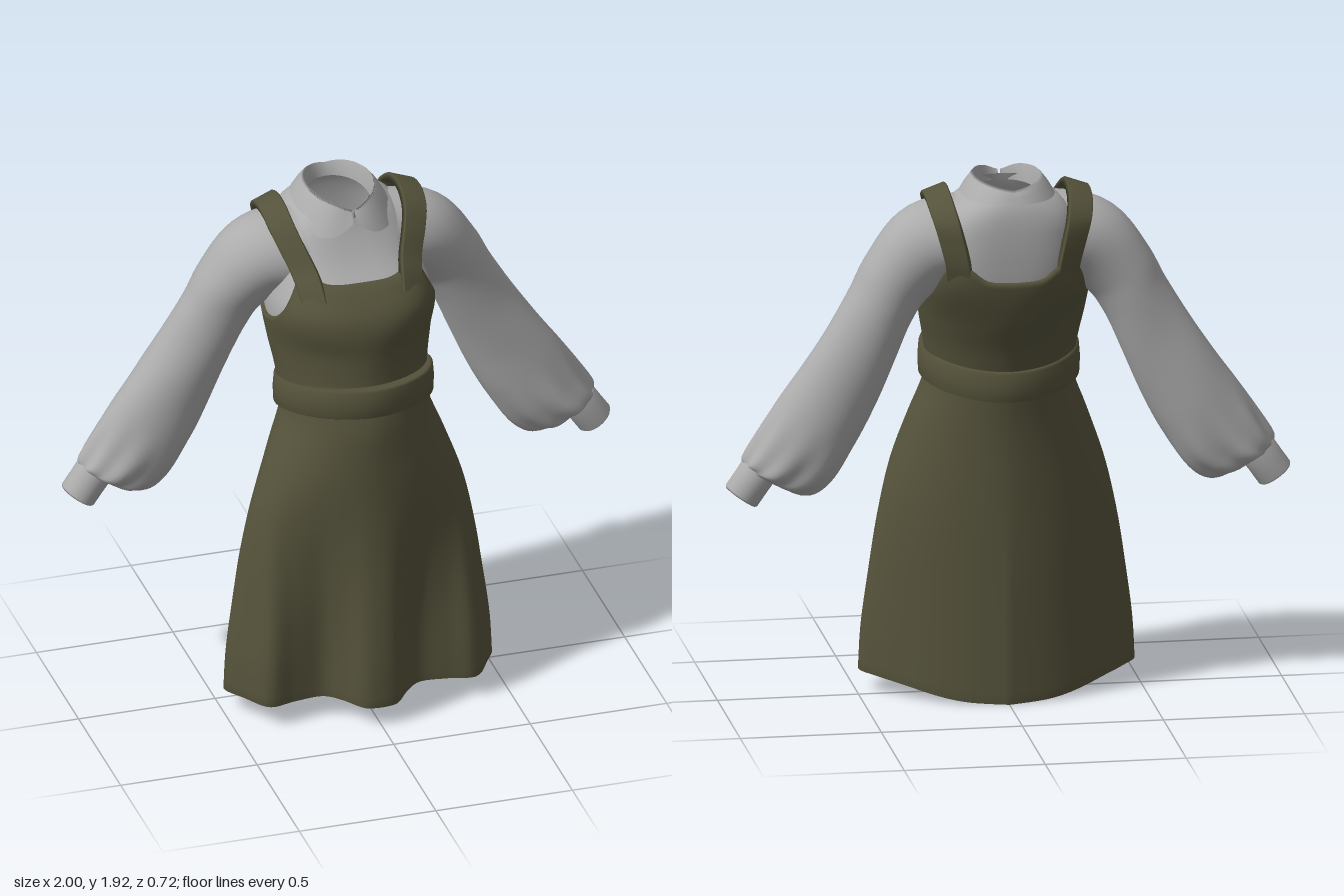
import * as THREE from 'three';

const blouseGrey = new THREE.MeshStandardMaterial({ color: 0xacacac, side: THREE.DoubleSide });
const dressGreen = new THREE.MeshStandardMaterial({ color: 0x55533b, side: THREE.DoubleSide });
blouseGrey.name = 'blouse grey';
dressGreen.name = 'dress olive green';

// Smooth interpolation through rows of [key, value, value...]
function table(rows) {
  const n = rows[0].length - 1;
  const interp = new THREE.CubicInterpolant(rows.map(r => r[0]), rows.flatMap(r => r.slice(1)), n, new Float32Array(n));
  return x => Array.from(interp.evaluate(x));
}

// Skin through a list of rings, each a list of Vector3
function loft(name, rings, material, closed = true) {
  const n = rings[0].length, index = [];
  for (let i = 0; i < rings.length - 1; i++) {
    for (let j = 0; j < (closed ? n : n - 1); j++) {
      const k = (j + 1) % n;
      const a = i * n + j, b = i * n + k, c = a + n, d = b + n;
      index.push(a, b, d, a, d, c);
    }
  }
  const g = new THREE.BufferGeometry().setFromPoints(rings.flat());
  g.setIndex(index);
  g.computeVertexNormals();
  const mesh = new THREE.Mesh(g, material);
  mesh.name = name;
  return mesh;
}

const V = (x, y, z) => new THREE.Vector3(x, y, z);
const { lerp, smoothstep } = THREE.MathUtils;
const range = n => Array.from({ length: n + 1 }, (_, i) => i / n);
const around = n => Array.from({ length: n }, (_, j) => -Math.PI + (j / n) * Math.PI * 2);

// Rounded oval in plan, widest at z = zm: t = 0 is the front, t = PI / 2 is +x
function oval(t, hw, zf, zb, p, zm = (zf + zb) / 2) {
  const s = Math.sin(t), c = Math.cos(t), e = 2 / p;
  return [Math.sign(s) * hw * Math.abs(s) ** e, zm + ((c > 0 ? zf : zb) - zm) * Math.abs(c) ** e];
}

// Body by height: half width, front z, back z; squarer towards the shoulders
const body = table([
  [1.15, 0.245, 0.24, -0.2], [1.3, 0.262, 0.222, -0.25], [1.4, 0.28, 0.22, -0.297], [1.5, 0.29, 0.222, -0.33],
  [1.56, 0.285, 0.205, -0.342], [1.62, 0.268, 0.16, -0.347], [1.7, 0.25, 0.085, -0.35], [1.78, 0.228, 0.035, -0.347],
  [1.84, 0.185, 0.01, -0.335], [1.875, 0.12, 0.0, -0.315],
]);
const squareness = y => lerp(1.8, 3.0, smoothstep(y, 1.38, 1.67)) - 0.6 * smoothstep(y, 1.76, 1.87);
function bodyPoint(t, y, off = 0) {
  const [hw, zf, zb] = body(y);
  const [x, z] = oval(t, hw + off, zf + off, zb - off, squareness(y));
  return V(x, y, z);
}
// Point on the body at a given x and height, front (side = 1) or back (-1)
function onBody(x, y, side, off) {
  const [hw, zf, zb] = body(y), p = squareness(y);
  const depth = (1 - (x / (hw + off)) ** p) ** (1 / p);
  return V(x, y, (zf + zb) / 2 + side * ((zf - zb) / 2 + off) * depth);
}

function blouseBody() {
  return loft('blouseBody', range(28).map(v => around(72).map(t => bodyPoint(t, lerp(1.15, 1.875, v)))), blouseGrey);
}

// Turned-down collar, open at the front with rounded flaps
function collar() {
  const rows = [0, 0.35, 0.6, 0.8, 1].map(v => range(96).map(u => {
    const t = 0.03 + u * (Math.PI * 2 - 0.06);
    const a = Math.min(t, Math.PI * 2 - t);
    const flap = Math.exp(-(((a - 0.65) / 0.55) ** 4));
    const top = 1.9 + 0.022 * Math.sin(a) - 0.014 * Math.exp(-((a / 0.35) ** 2));
    const low = 1.855 - 0.056 * flap;
    const [xi, zi] = oval(t, 0.108, 0.01, -0.31, 2.1);
    const [xm, zm] = oval(t, 0.125, 0.02, -0.33, 2.1);
    const [xo, zo] = oval(t, 0.165 + 0.02 * flap, 0.042 + 0.016 * flap, -0.35, 2.3);
    if (v === 0) return V(xi, 1.85, zi);
    if (v < 0.5) return V(lerp(xi, xm, 0.5), top, lerp(zi, zm, 0.5));
    const k = (v - 0.6) / 0.4;
    return V(lerp(xm, xo, k), lerp(top - 0.008, low, k ** 1.2), lerp(zm, zo, k));
  }));
  return loft('collar', rows, blouseGrey, false);
}

// Sleeve stations: centre x, y, z, half width, half depth
const sleevePath = table([
  [0, 0.15, 1.7, -0.138, 0.145, 0.18], [1, 0.287, 1.67, -0.15, 0.148, 0.157], [2, 0.39, 1.568, -0.165, 0.132, 0.13],
  [3, 0.45, 1.465, -0.175, 0.124, 0.117], [4, 0.52, 1.33, -0.182, 0.133, 0.11], [5, 0.6, 1.187, -0.186, 0.148, 0.112],
  [6, 0.678, 1.054, -0.187, 0.159, 0.117], [7, 0.758, 0.932, -0.187, 0.157, 0.118], [8, 0.834, 0.868, -0.186, 0.124, 0.103],
  [8.7, 0.89, 0.877, -0.185, 0.062, 0.06],
]);

function sleeve() {
  const g = new THREE.Group();
  const rings = range(56).map(v => {
    const s = v * 8.7;
    const [cx, cy, cz, r, d] = sleevePath(s);
    const p = sleevePath(Math.max(s - 0.1, 0)), q = sleevePath(Math.min(s + 0.1, 8.7));
    // Ring leans gradually into the cuff direction
    const T = V(q[0] - p[0], q[1] - p[1], 0).normalize().lerp(V(0.57, -0.82, 0), smoothstep(s, 5, 8)).normalize();
    const gather = smoothstep(s, 5.8, 8) * (1 - 0.5 * smoothstep(s, 8.2, 8.7));
    return around(64).map(a => {
      const k = 1 + gather * (0.05 * Math.cos(9 * a) + 0.03 * Math.sin(5 * a + s)) + 0.012 * Math.sin(3 * a + s * 2.2);
      const w = r * k * Math.cos(a);
      return V(cx - T.y * w, cy + T.x * w, cz + d * k * Math.sin(a));
    });
  });
  g.add(loft('puffSleeve', rings, blouseGrey));
  // Cuff: a short hollow band; [distance along, radius]
  const axis = V(0.57, -0.82, 0).normalize();
  const cuff = [[0.0, 0.05], [-0.008, 0.062], [0.0, 0.068], [0.05, 0.067], [0.106, 0.067], [0.112, 0.063], [0.106, 0.058], [0.01, 0.055]];
  g.add(loft('cuff', cuff.map(([l, r]) => around(32).map(a => V(
    0.884 + axis.x * l - axis.y * r * Math.cos(a),
    0.885 + axis.y * l + axis.x * r * Math.cos(a),
    -0.185 + r * Math.sin(a)))), blouseGrey));
  return g;
}

// Top edge of the bodice by angle from the front
const bodiceTop = table([
  [0, 1.655], [0.25, 1.657], [0.44, 1.668], [0.6, 1.695], [0.78, 1.685], [0.95, 1.63], [1.15, 1.555], [1.45, 1.495],
  [1.75, 1.49], [2.0, 1.545], [2.2, 1.615], [2.45, 1.645], [2.72, 1.615], [2.9, 1.58], [Math.PI, 1.57],
]);
function bodice() {
  const rings = range(20).map(v => around(112).map(t => bodyPoint(t, lerp(1.18, bodiceTop(Math.abs(t))[0], v), 0.014)));
  rings.push(around(112).map(t => bodyPoint(t, bodiceTop(Math.abs(t))[0], -0.004)));
  return loft('bodice', rings, dressGreen);
}

// Flat band over the shoulder, its ends lying flush on the bodice
function strap() {
  const path = new THREE.CatmullRomCurve3([
    onBody(0.178, 1.6, 1, -0.004), onBody(0.184, 1.65, 1, 0.008), onBody(0.196, 1.7, 1, 0.016),
    V(0.225, 1.775, 0.008), V(0.243, 1.825, -0.04), V(0.25, 1.858, -0.11),
    V(0.25, 1.858, -0.18), V(0.246, 1.832, -0.25), V(0.233, 1.78, -0.305),
    onBody(0.212, 1.7, -1, 0.018), onBody(0.196, 1.63, -1, 0.008), onBody(0.19, 1.57, -1, -0.004),
  ]);
  const rings = range(56).map(u => {
    const p = path.getPointAt(u), T = path.getTangentAt(u);
    const n = V(0, -T.z, T.y).normalize();
    // Width follows the shoulder slope on top and the body's curve at the ends
    const w = V(1, 0, 0).addScaledVector(n, -lerp(0.35, 0.5, smoothstep(Math.abs(u - 0.5), 0.2, 0.45))).normalize();
    const up = n.addScaledVector(w, -n.dot(w)).normalize();
    return [[-1, -1], [-1, 0.7], [-0.9, 1], [0.9, 1], [1, 0.7], [1, -1]]
      .map(([a, b]) => p.clone().addScaledVector(w, -a * 0.045).addScaledVector(up, b * 0.013));
  });
  return loft('shoulderStrap', rings, dressGreen);
}

// Slanting belt; profile rows are height, offset around, offset at the front
function belt() {
  const profile = [[-0.045, -0.01, -0.03], [-0.056, 0, 0], [-0.05, 0.012, 0.012], [0, 0.014, 0.014],
    [0.048, 0.01, 0.01], [0.055, 0, 0], [0.05, -0.012, -0.055]];
  return loft('waistBelt', profile.map(([dy, off, front]) => around(80).map(t => {
    const [x, z] = oval(t, 0.272 + off, 0.288 + front, -0.248 - off, 1.85);
    return V(x, 1.257 - (0.3 - z) * 0.167 + dy, z);
  })), dressGreen);
}

// Skirt by height: half width, front z, back z
const skirtSize = table([
  [0.05, 0.49, 0.362, -0.222], [0.2, 0.482, 0.358, -0.22], [0.4, 0.457, 0.34, -0.217], [0.6, 0.427, 0.318, -0.213],
  [0.8, 0.383, 0.303, -0.21], [1.0, 0.315, 0.297, -0.212], [1.14, 0.264, 0.292, -0.225], [1.22, 0.255, 0.275, -0.235],
]);
// Right half of the hem in plan, with a front fold and side folds
const hem = new THREE.SplineCurve([
  [0, 0.362], [0.06, 0.35], [0.12, 0.28], [0.18, 0.235], [0.28, 0.242], [0.38, 0.256], [0.445, 0.165],
  [0.49, 0.07], [0.44, 0.0], [0.36, -0.07], [0.27, -0.135], [0.15, -0.19], [0, -0.222],
].map(p => new THREE.Vector2(...p)));
const hemHeight = table([[-0.24, 0.0], [-0.2, 0.008], [-0.1, 0.045], [0, 0.068], [0.2, 0.085], [0.4, 0.075]]);

function skirt() {
  const ring = (v, inset = 0, lift = 0) => around(128).map(t => {
    const yn = lerp(0.05, 1.22, v);
    const [hw, zf, zb] = skirtSize(yn);
    const fold = 1 - smoothstep(yn, 0.15, 1.0);
    const h = hem.getPointAt(Math.min(Math.abs(t) / Math.PI, 1));
    const [ex, ez] = oval(t, hw, zf, zb, 1.85, lerp(0.08, 0.03, smoothstep(yn, 0.8, 1.2)));
    const x = lerp(ex, Math.sign(t) * h.x * hw / 0.49, fold);
    const z = lerp(ez, h.y * (h.y > 0 ? zf / 0.362 : zb / -0.222), fold);
    const y = lerp(hemHeight(h.y)[0], 1.22, v) + lift;
    return V(x * (1 - inset), y, 0.05 + (z - 0.05) * (1 - inset));
  });
  // Turned-in hem first, then the outer cloth
  return loft('skirt', [ring(0, 0.02, 0.03), ring(0, 0.015, 0.003), ...range(32).map(v => ring(v))], dressGreen);
}

export function createModel() {
  const model = new THREE.Group();
  model.name = 'pinaforeDressWithBlouse';
  model.add(blouseBody(), collar(), bodice(), belt(), skirt());
  for (const side of [1, -1]) {
    const half = new THREE.Group();
    half.name = side > 0 ? 'leftSleeveAndStrap' : 'rightSleeveAndStrap';
    half.add(sleeve(), strap());
    half.scale.x = side;
    model.add(half);
  }
  return model;
}
